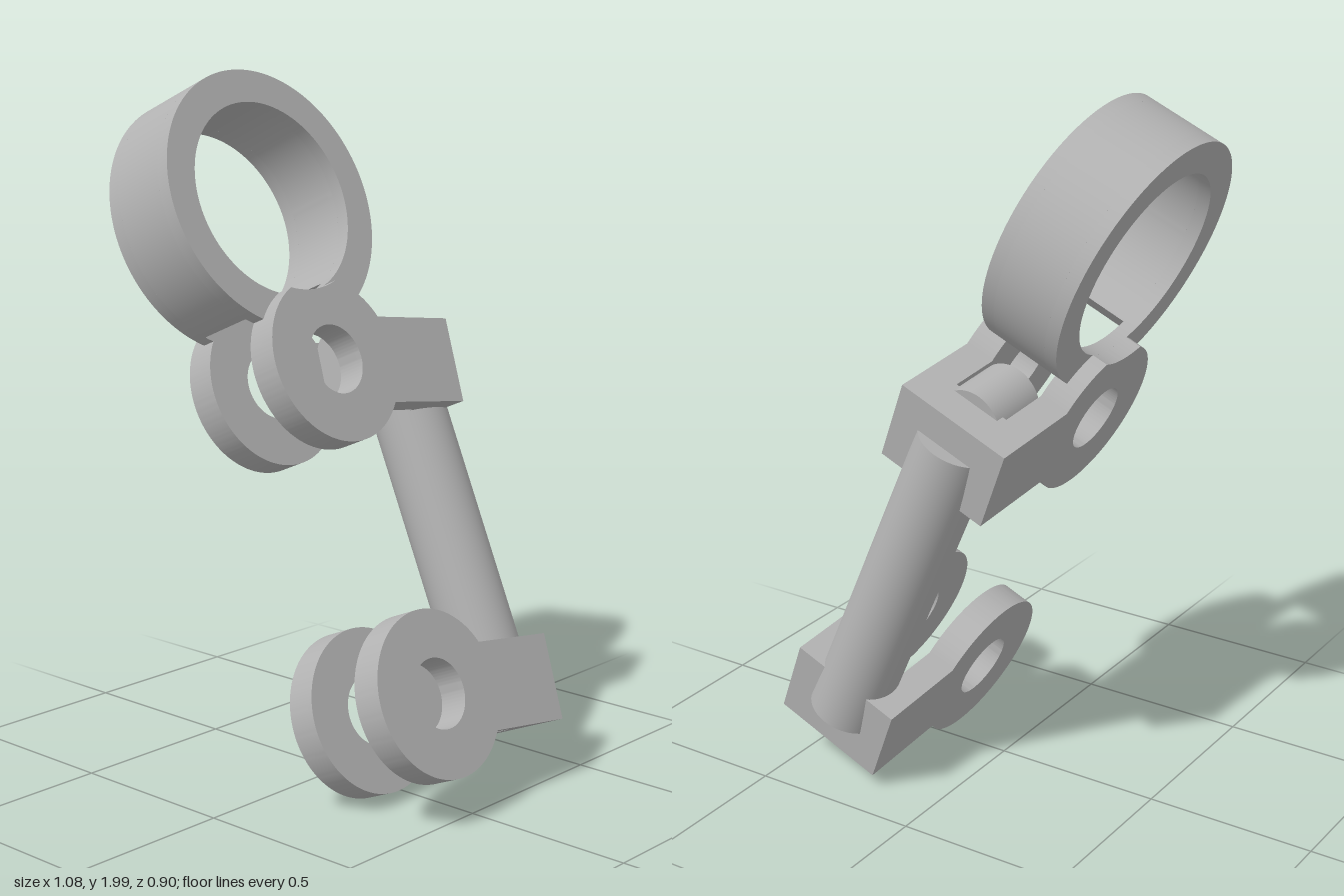
import * as THREE from 'three';
import { toCreasedNormals } from 'three/addons/utils/BufferGeometryUtils.js';

const TILT = 0.408;              // lean of the whole linkage
const DROOP = -0.14;             // slope of the bracket arms
const CX = 0.379, CZ = 0.077;    // common centre plane and hole axis
const TOP_Y = 1.107, LOW_Y = 0.159, RING_Y = 1.588;
const DISC_R = 0.233, HOLE_R = 0.098, HALF_H = 0.124, ARM = 0.48, WEB = 0.355;
const RING_R = 0.375, BORE_R = 0.28, GAP = 0.17, PLATE = 0.088;
const LIFT = RING_Y - TOP_Y;     // ring centre above the upper hole

export function createModel() {
  const metal = new THREE.MeshStandardMaterial({ color: 0xb2b2b2 });
  const model = new THREE.Group();
  const body = new THREE.Group();
  body.name = 'linkage';
  body.rotation.z = TILT;
  model.add(body);

  function add(name, geometry, parent) {
    const mesh = new THREE.Mesh(geometry, metal);
    mesh.name = name;
    parent.add(mesh);
    return mesh;
  }

  // Profile in (backward, up), extruded sideways from x0
  function slab(shape, x0, depth) {
    const g = new THREE.ExtrudeGeometry(shape, { depth, bevelEnabled: false, curveSegments: 64 });
    g.rotateY(Math.PI / 2);
    g.translate(x0, 0, 0);
    return toCreasedNormals(g, 0.5);
  }

  function addHole(shape, r) {
    shape.holes.push(new THREE.Path().absarc(0, 0, r, 0, Math.PI * 2, true));
    return shape;
  }

  // Point where a circle at the hole (r) meets one at the ring centre (R)
  function meet(r, R) {
    const up = (LIFT * LIFT + r * r - R * R) / (2 * LIFT);
    return { side: Math.sqrt(r * r - up * up), up };
  }

  function turned(a, b) {
    const c = Math.cos(DROOP), s = Math.sin(DROOP);
    return [a * c - b * s, a * s + b * c];
  }

  // Round eye with a straight arm; the upper one is relieved by the ring bore
  function plateShape(relieved) {
    const s = new THREE.Shape();
    const phi = Math.asin(HALF_H / DISC_R);
    const end = Math.PI * 2 + DROOP - phi;
    s.moveTo(...turned(ARM, -HALF_H));
    s.lineTo(...turned(ARM, HALF_H));
    if (relieved) {
      const p = meet(DISC_R, BORE_R);
      const a = Math.atan2(p.up, p.side);
      const b = Math.atan2(p.up - LIFT, p.side);
      s.absarc(0, 0, DISC_R, DROOP + phi, a, false);
      s.absarc(0, LIFT, BORE_R, b, -Math.PI - b, true);
      s.absarc(0, 0, DISC_R, Math.PI - a, end, false);
    } else {
      s.absarc(0, 0, DISC_R, DROOP + phi, end, false);
    }
    return addHole(s, HOLE_R);
  }

  // Two plates joined by a block at the back
  function bracket(name, y, relieved) {
    const g = new THREE.Group();
    g.name = name;
    g.position.set(CX, y, CZ);
    body.add(g);
    const shape = plateShape(relieved);
    add('rightPlate', slab(shape, -GAP / 2 - PLATE, PLATE), g);
    add('leftPlate', slab(shape, GAP / 2, PLATE), g);
    const web = add('backBlock', new THREE.BoxGeometry(GAP, HALF_H * 2, ARM - WEB), g);
    const [s, h] = turned((ARM + WEB) / 2, 0);
    web.position.set(0, h, -s);
    web.rotation.x = DROOP;
    return g;
  }

  const upper = bracket('upperBracket', TOP_Y, true);
  bracket('lowerBracket', LOW_Y, false);

  // Short pin standing forward from the upper block
  const pin = add('pin', new THREE.CylinderGeometry(0.1, 0.1, 0.18, 48), upper);
  const [ps, ph] = turned(0.29, 0.056);
  pin.position.set(0, ph, -ps);
  pin.rotation.x = Math.PI / 2 + DROOP;
  pin.scale.x = 0.99;

  // Rear rod joining both brackets
  const rodLow = 0.08, rodTop = 1.065;
  const rod = add('rod', new THREE.CylinderGeometry(0.11, 0.11, rodTop - rodLow, 64), body);
  rod.position.set(CX, (rodLow + rodTop) / 2, -0.338);

  // Ring: two full outer slices and a middle slice with a clearance notch
  const ring = new THREE.Group();
  ring.name = 'ring';
  ring.position.set(CX, RING_Y, CZ);
  body.add(ring);
  const RING_HALF = 0.125;
  const full = addHole(new THREE.Shape().absarc(0, 0, RING_R, 0, Math.PI * 2, false), BORE_R);
  add('ringRightSlice', slab(full, -RING_HALF, RING_HALF - GAP / 2), ring);
  add('ringLeftSlice', slab(full, GAP / 2, RING_HALF - GAP / 2), ring);

  const CLEAR = 0.262;
  const o = meet(CLEAR, RING_R), i = meet(CLEAR, BORE_R);
  const ao = Math.atan2(o.up - LIFT, o.side), ai = Math.atan2(i.up - LIFT, i.side);
  const open = new THREE.Shape();
  open.absarc(0, 0, RING_R, ao, Math.PI - ao, false);
  open.absarc(0, 0, BORE_R, Math.PI - ai, ai, true);
  open.closePath();
  add('ringMiddleSlice', slab(open, -GAP / 2, GAP), ring);

  return model;
}
